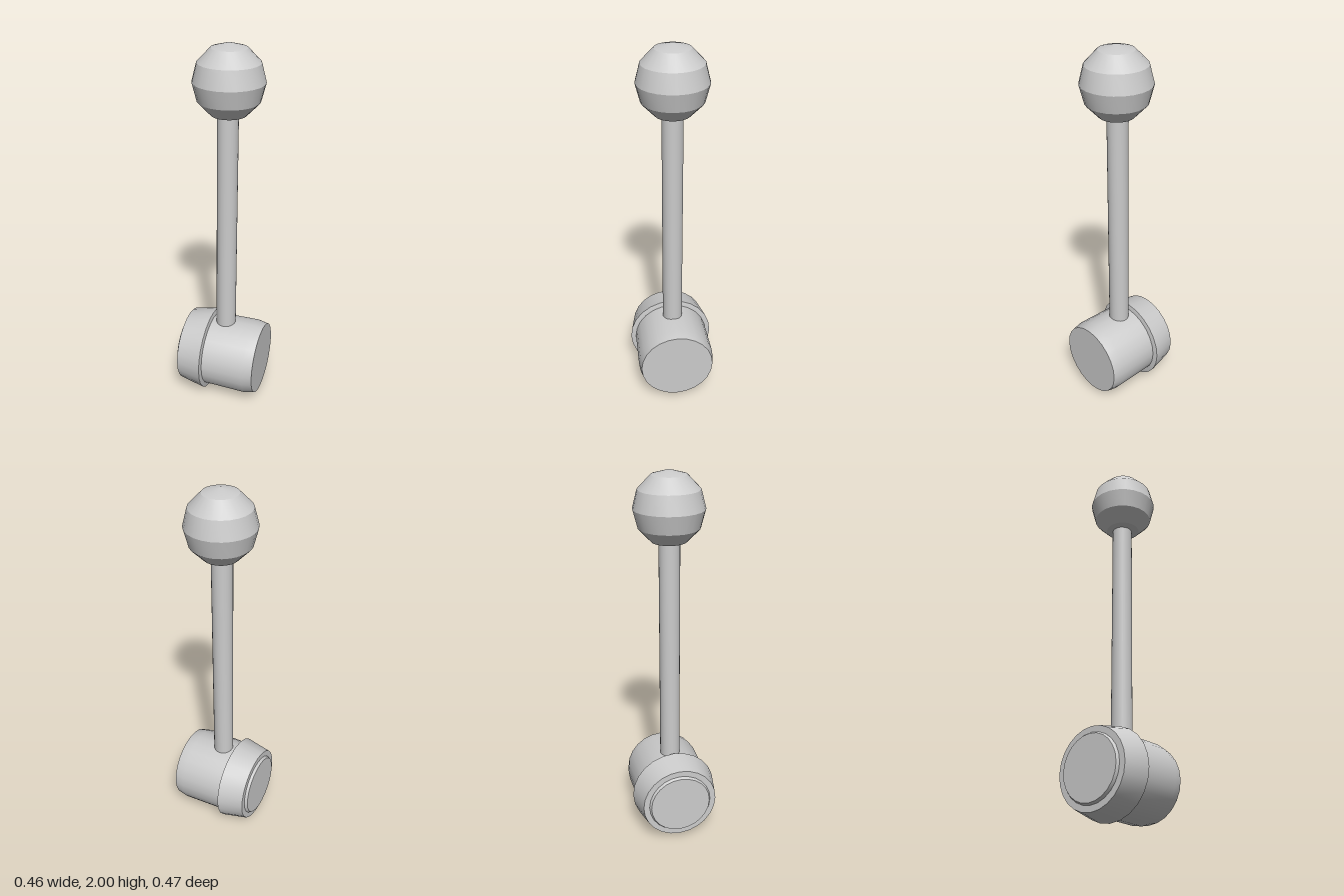
import * as THREE from 'three';
import { toCreasedNormals } from 'three/addons/utils/BufferGeometryUtils.js';

const SIDES = 24;

// Revolved part from [radius, height] pairs, listed bottom to top
function turned(name, profile, sides = SIDES) {
  const points = profile.map(([r, h]) => new THREE.Vector2(r, h));
  const geometry = toCreasedNormals(new THREE.LatheGeometry(points, sides), 0.5);
  const mesh = new THREE.Mesh(geometry, new THREE.MeshStandardMaterial({ color: 0xcccccc }));
  mesh.name = name;
  return mesh;
}

export function createModel() {
  const model = new THREE.Group();
  model.name = 'lever';

  // Pivot head: turned along y, then laid along x with a slight lean
  const head = new THREE.Group();
  head.name = 'pivotHead';
  head.add(
    turned('pivotBarrel', [[0, -0.09], [0.205, -0.09], [0.21, 0.17], [0.199, 0.225], [0, 0.225]]),
    turned('flaredCollar', [[0, -0.21], [0.204, -0.21], [0.233, -0.07], [0.212, -0.065], [0, -0.065]]),
    turned('endCap', [[0, -0.225], [0.164, -0.225], [0.172, -0.212], [0.172, -0.2], [0, -0.2]])
  );
  for (const part of head.children) part.geometry.rotateZ(-Math.PI / 2);
  head.position.set(0, 0.234, 0);
  head.rotation.set(0, 0.013, -0.012);
  model.add(head);

  // Rod, leaning slightly towards the left
  const rod = turned('rod', [[0, 0], [0.054, 0], [0.054, 1.3], [0, 1.3]]);
  rod.position.set(0.012, 0.38, 0);
  rod.rotation.z = -0.006;
  model.add(rod);

  // Ball knob made of six straight bands
  const bands = 6;
  const arc = Array.from({ length: bands + 1 }, (_, i) => {
    const a = (i / bands) * Math.PI;
    return [0.18 * Math.sin(a), -0.187 * Math.cos(a)];
  });
  const knob = turned('ballKnob', arc);
  knob.position.set(0.025, 1.813, 0);
  knob.rotation.z = -0.006;
  model.add(knob);

  return model;
}
